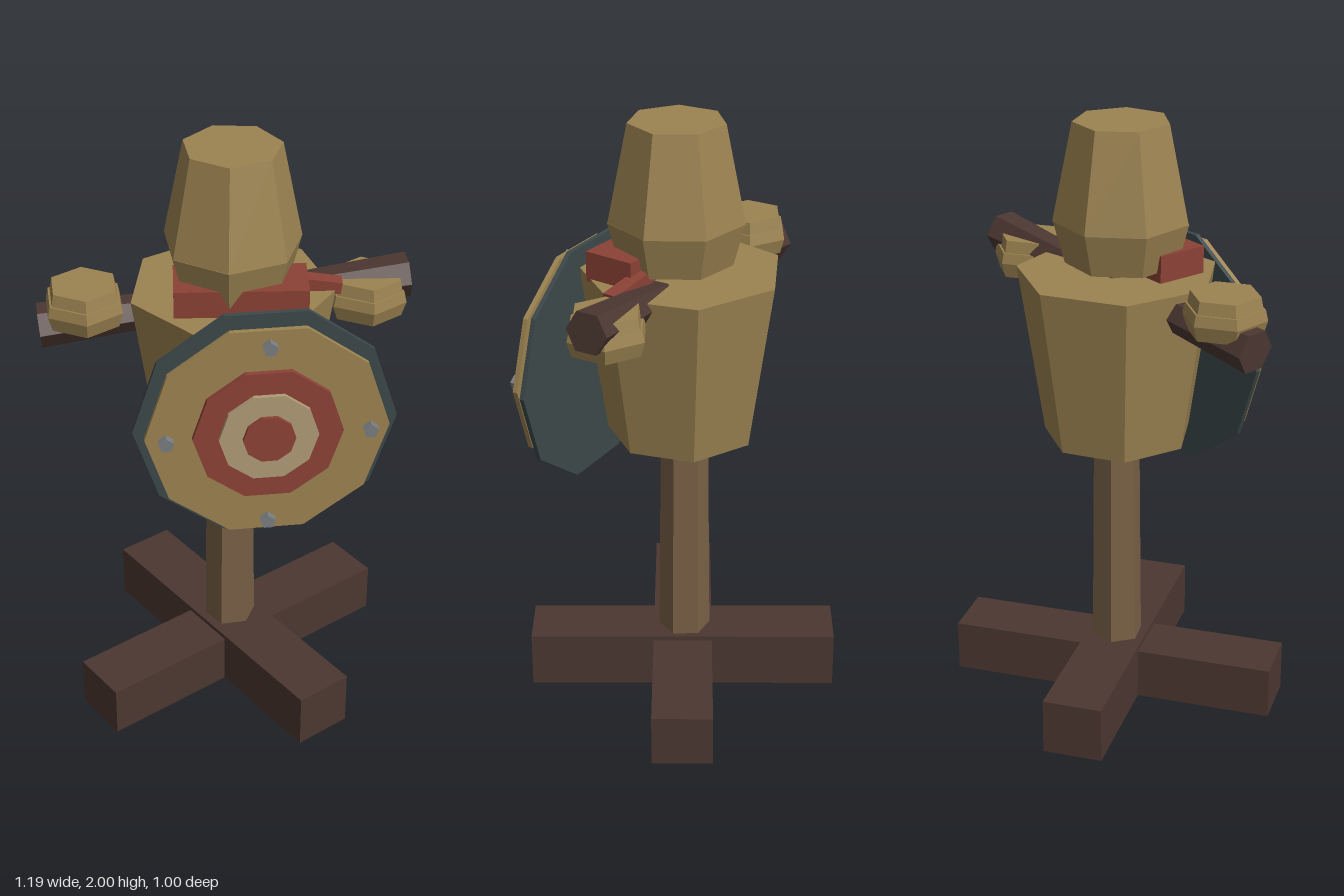
import * as THREE from 'three';

const mat = (name, color) => {
  const m = new THREE.MeshStandardMaterial({ color, flatShading: true });
  m.name = name;
  return m;
};

export function createModel() {
  const root = new THREE.Group();
  root.name = 'trainingDummy';
  const straw = mat('straw', 0x9c8351);
  const postWood = mat('postWood', 0x7a6146);
  const darkWood = mat('darkWood', 0x4c3731);
  const red = mat('red', 0x8c4236);
  const cream = mat('cream', 0xb09b76);
  const slate = mat('slate', 0x3c484a);
  const iron = mat('iron', 0x7a7e80);
  const deg = Math.PI / 180;

  const add = (name, geo, material, x, y, z, parent = root) => {
    const m = new THREE.Mesh(geo, material);
    m.name = name;
    m.position.set(x, y, z);
    parent.add(m);
    return m;
  };
  // upright faceted frustum between two heights, turned so a corner sits at angle turn
  const frustum = (name, material, sides, rTop, rBottom, y0, y1, x, z, turn = 0, parent = root) =>
    add(name, new THREE.CylinderGeometry(rTop, rBottom, y1 - y0, sides).rotateY(turn * deg),
      material, x, (y0 + y1) / 2, z, parent);
  // flat faceted disc facing +z
  const disc = (name, material, sides, r, z0, z1, x, y, turn, parent) =>
    add(name, new THREE.CylinderGeometry(r, r, z1 - z0, sides).rotateY(turn * deg).rotateX(Math.PI / 2),
      material, x, y, (z0 + z1) / 2, parent);

  // crossed foot beams
  add('footBeamLong', new THREE.BoxGeometry(1.12, 0.175, 0.2), darkWood, 0.02, 0.0875, 0).rotation.y = 30 * deg;
  add('footBeamShort', new THREE.BoxGeometry(1.04, 0.19, 0.2), darkWood, 0.02, 0.095, 0).rotation.y = -60 * deg;

  // post, running up through the body as the neck
  frustum('post', postWood, 6, 0.078, 0.087, 0.17, 1.0, 0.02, -0.007, 93);
  frustum('neck', postWood, 6, 0.078, 0.078, 1.45, 1.6, 0.02, 0, 93);

  // straw body and head
  frustum('body', straw, 7, 0.332, 0.247, 0.945, 1.51, 0.02, 0, 180);
  frustum('headLower', straw, 7, 0.222, 0.185, 1.54, 1.68, 0.022, 0.02, 92.6);
  frustum('headUpper', straw, 7, 0.157, 0.222, 1.68, 2.0, 0.022, 0.018, 92.6);

  // scarf and its tail
  add('scarf', new THREE.BoxGeometry(0.417, 0.1, 0.175), red, 0.035, 1.55, 0.118).rotation.y = -5.5 * deg;
  add('scarfTail', new THREE.BoxGeometry(0.2, 0.04, 0.05), red, 0.265, 1.53, 0.045).rotation.set(0, -6 * deg, -8 * deg);

  // arms widen towards the ends of one sloping line
  const slope = 0.086;
  for (const [name, side] of [['leftArm', 1], ['rightArm', -1]]) {
    const geo = new THREE.CylinderGeometry(0.072, 0.052, 0.43, 6).rotateZ(-side * Math.PI / 2);
    add(name, geo, darkWood, side * 0.375, 1.457 + side * 0.375 * slope, -0.003).rotation.z = slope;
  }

  // stacked straw hands
  const layers = [[0.135, 0.12, 0, 0.05], [0.127, 0.135, 0.05, 0.085], [0.112, 0.12, 0.085, 0.125]];
  for (const [name, x, y] of [['leftHand', 0.455, 1.402], ['rightHand', -0.445, 1.428]]) {
    const hand = new THREE.Group();
    hand.name = name;
    hand.position.set(x, y, 0.012);
    root.add(hand);
    layers.forEach(([rt, rb, y0, y1]) => frustum(name + 'Layer', straw, 6, rt, rb, y0, y1, 0, 0, 0, hand));
  }

  // target shield in stepped rings
  const shield = new THREE.Group();
  shield.name = 'shield';
  shield.position.set(0.09, 1.18, 0);
  root.add(shield);
  [['shieldBack', slate, 0.418, 0.29, 0.306],
    ['shieldBoard', straw, 0.385, 0.338, 0.355],
    ['outerRing', red, 0.237, 0.355, 0.372],
    ['middleRing', cream, 0.157, 0.37, 0.386],
    ['bullseye', red, 0.083, 0.384, 0.398],
  ].forEach(([name, m, r, z0, z1]) => disc(name, m, 10, r, z0, z1, 0, 0, 90, shield));

  // four studs
  for (let i = 0; i < 4; i++) {
    const a = i * Math.PI / 2;
    disc('stud', iron, 5, 0.025, 0.368, 0.393, 0.32 * Math.cos(a), 0.32 * Math.sin(a), 180, shield);
  }
  return root;
}
